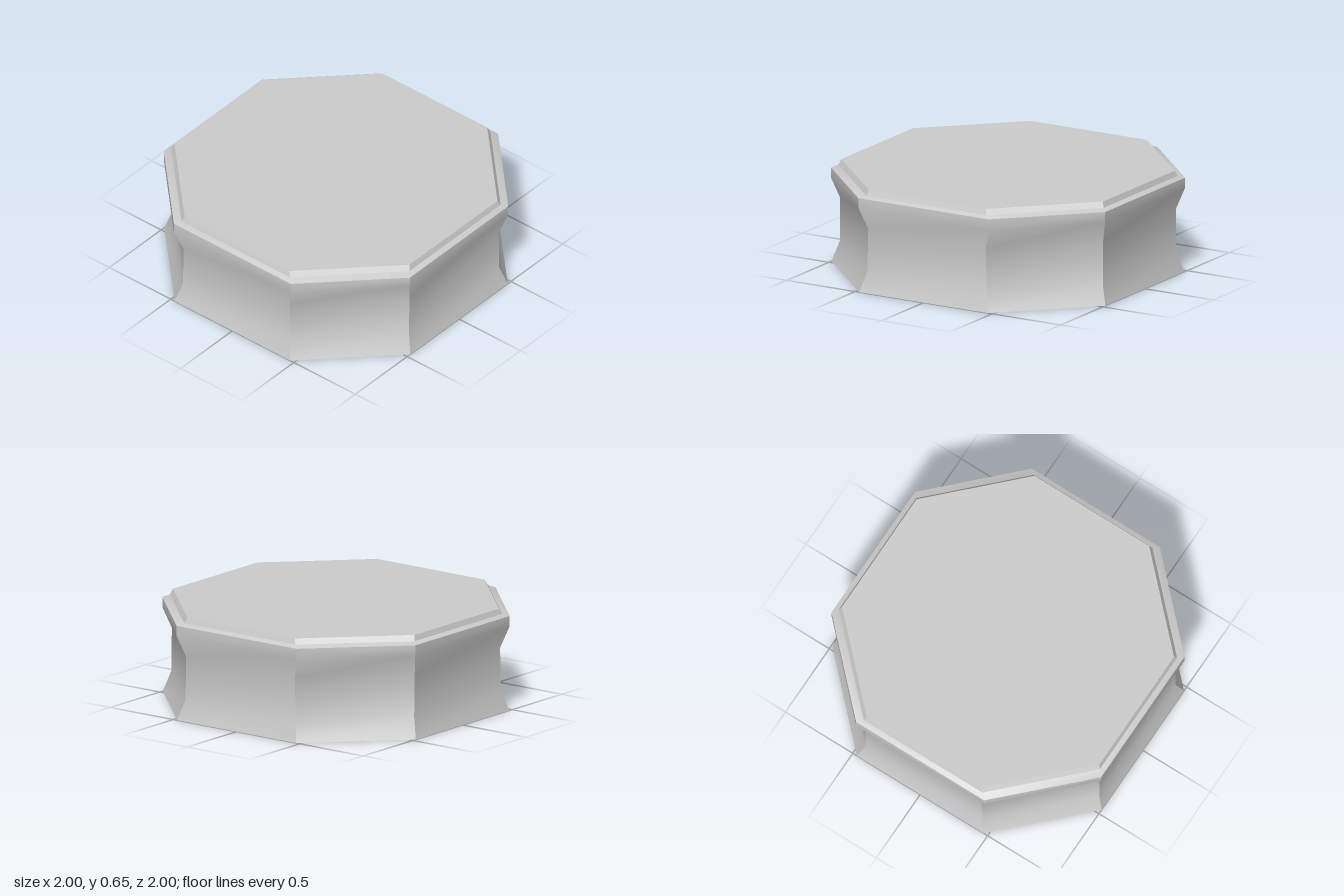
import * as THREE from 'three';
import { toCreasedNormals } from 'three/addons/utils/BufferGeometryUtils.js';

const material = new THREE.MeshStandardMaterial({ color: 0xcccccc });

// Eight-sided ring: half-width h, half-length c of the straight sides
function octagon([y, h, c]) {
  return [[h, c], [c, h], [-c, h], [-h, c], [-h, -c], [-c, -h], [c, -h], [h, -c]]
    .map(([x, z]) => [x, y, z]);
}

// Skin successive rings; a ring with h = 0 closes the surface at a centre point
function loft(rings) {
  const points = [];
  for (let r = 0; r < rings.length - 1; r++) {
    const a = octagon(rings[r]), b = octagon(rings[r + 1]);
    for (let i = 0; i < 8; i++) {
      const j = (i + 1) % 8;
      if (rings[r][1] > 0) points.push(...a[i], ...b[i], ...a[j]);
      if (rings[r + 1][1] > 0) points.push(...a[j], ...b[i], ...b[j]);
    }
  }
  const geometry = new THREE.BufferGeometry();
  geometry.setAttribute('position', new THREE.Float32BufferAttribute(points, 3));
  return toCreasedNormals(geometry, 0.5);
}

function addPart(group, name, rings) {
  const mesh = new THREE.Mesh(loft(rings), material);
  mesh.name = name;
  group.add(mesh);
}

export function createModel() {
  const group = new THREE.Group();
  group.name = 'octagonalBase';

  // Waisted outer wall with flared foot and rim, up to the stepped top
  addPart(group, 'outerWall', [
    [0, 1, 0.47], [0.13, 0.96, 0.435], [0.405, 0.96, 0.43],
    [0.54, 1, 0.475], [0.605, 1, 0.475], [0.62, 0.968, 0.44],
  ]);

  // Raised bevelled top plate
  addPart(group, 'topPlate', [
    [0.62, 0.968, 0.44], [0.655, 0.955, 0.425], [0.655, 0, 0],
  ]);

  // Hollow underside: ceiling, bevel, inner wall and foot ring
  addPart(group, 'hollowUnderside', [
    [0.52, 0, 0], [0.52, 0.8, 0.45], [0.5, 0.835, 0.47],
    [0, 0.835, 0.47], [0, 1, 0.47],
  ]);

  return group;
}
